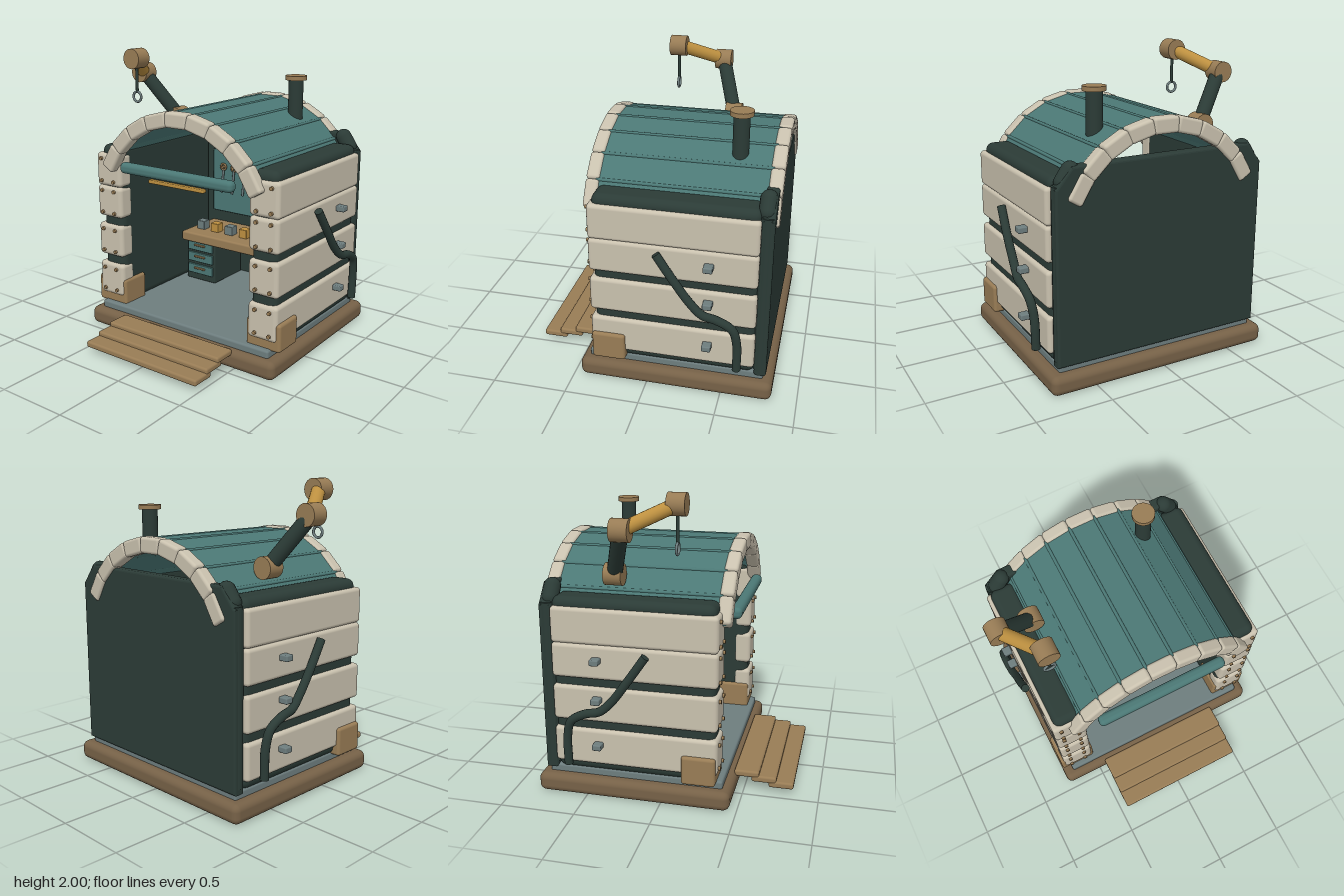
import * as THREE from 'three';
import { RoundedBoxGeometry } from 'three/addons/geometries/RoundedBoxGeometry.js';

const mat = (name, color) => {
  const m = new THREE.MeshStandardMaterial({ color });
  m.name = name;
  return m;
};
const M = {
  dark: mat('dark green', 0x2b3b36), cream: mat('cream', 0xc9c1ae), teal: mat('teal', 0x4b7875),
  wood: mat('wood', 0x987c55), base: mat('dark wood', 0x766147), grey: mat('grey', 0x6d7d7e),
  ochre: mat('ochre', 0xbd9040),
};
const CX = 0.02; // middle of the building

export function createModel() {
  const model = new THREE.Group();
  model.name = 'workshop';

  const add = (name, geo, material, x = 0, y = 0, z = 0) => {
    const mesh = new THREE.Mesh(geo, material);
    mesh.name = name;
    mesh.position.set(x, y, z);
    model.add(mesh);
    return mesh;
  };
  // rounded box from its limits
  const box = (name, m, x0, x1, y0, y1, z0, z1, r = 0.01) =>
    add(name, new RoundedBoxGeometry(Math.abs(x1 - x0), y1 - y0, z1 - z0, 3, r), m,
      (x0 + x1) / 2, (y0 + y1) / 2, (z0 + z1) / 2);
  // round bar between two points
  const rod = (name, m, a, b, r, sides = 20) => {
    const p = new THREE.Vector3(...a), q = new THREE.Vector3(...b), d = q.clone().sub(p);
    const mesh = add(name, new THREE.CylinderGeometry(r, r, d.length(), sides), m);
    mesh.position.copy(p).add(q).multiplyScalar(0.5);
    mesh.quaternion.setFromUnitVectors(new THREE.Vector3(0, 1, 0), d.normalize());
    return mesh;
  };

  // base, floor and steps
  box('base', M.base, -0.77, 0.81, 0, 0.13, -0.835, 0.455, 0.045);
  box('floor', M.grey, -0.7, 0.74, 0.12, 0.18, -0.77, 0.4, 0.015);
  for (let i = 0; i < 3; i++) {
    box('step', M.wood, -0.45, 0.49, 0.097 - i * 0.029, 0.142 - i * 0.029,
      0.435 - i * 0.118, 0.6 + i * 0.115, 0.015).position.z = 0.517 + i * 0.116;
    const s = model.children[model.children.length - 1];
    s.geometry = new RoundedBoxGeometry(0.94, 0.045, 0.166, 3, 0.015);
  }

  // back wall with sloped upper corners
  const wall = new THREE.Shape([[-0.72, 0.18], [0.72, 0.18], [0.72, 1.28], [0.62, 1.4], [-0.62, 1.4], [-0.72, 1.28]]
    .map(([x, y]) => new THREE.Vector2(x, y)));
  add('backWall', new THREE.ExtrudeGeometry(wall, {
    depth: 0.05, bevelSize: 0.015, bevelThickness: 0.015, bevelSegments: 3,
  }), M.dark, CX, 0, -0.775);

  const rows = [[0.23, 0.475], [0.53, 0.768], [0.822, 1.05], [1.05, 1.287]];
  for (const s of [-1, 1]) {
    const X = (o) => CX + s * o;
    // side wall, corner post and its cap
    box('sideWall', M.dark, X(0.545), X(0.735), 0.17, 1.345, -0.71, 0.35, 0.05);
    rod('cornerPost', M.dark, [X(0.695), 0.2, -0.745], [X(0.695), 1.3, -0.745], 0.045);
    const cap = add('postCap', new THREE.CapsuleGeometry(0.055, 0.08, 6, 16), M.dark, X(0.64), 1.35, -0.735);
    cap.rotation.z = s * 0.6;

    // cladding and rivets
    for (const [y0, y1] of rows) {
      box('sidePanel', M.cream, X(0.66), X(0.762), y0, y1, -0.71, 0.37, 0.025);
      box('frontPanel', M.cream, X(0.538), X(0.762), y0, y1, 0.25, 0.372, 0.03);
      for (const o of [0.6, 0.71]) for (const e of [-0.08, 0.08]) {
        const y = (y0 + y1) / 2 + e;
        rod('rivet', M.wood, [X(o), y, 0.36], [X(o), y, 0.387], 0.013, 12);
      }
    }
    box('cornerBoot', M.wood, X(0.525), X(0.785), 0.165, 0.36, 0.14, 0.362, 0.02);

    // hose with brackets
    const path = [[0.79, 1.01, -0.08], [0.8, 0.85, -0.19], [0.805, 0.7, -0.3], [0.815, 0.63, -0.38],
      [0.82, 0.61, -0.47], [0.815, 0.55, -0.57], [0.805, 0.44, -0.602], [0.8, 0.24, -0.605]]
      .map(([o, y, z]) => new THREE.Vector3(X(o), y, z));
    const curve = new THREE.CatmullRomCurve3(path);
    add('hose', new THREE.TubeGeometry(curve, 48, 0.028, 14), M.dark);
    for (const t of [0, 1]) {
      const p = curve.getPoint(t), d = curve.getTangent(t).multiplyScalar(0.002);
      rod('hoseEnd', M.dark, p.clone().sub(d).toArray(), p.clone().add(d).toArray(), 0.028, 14);
    }
    for (const y of [0.375, 0.69, 0.955])
      box('bracket', M.grey, X(0.74), X(0.822), y - 0.02, y + 0.02, -0.437, -0.377, 0.008);
  }

  // barrel roof: planks, seams and two segmented arches
  const CY = 0.925, STEP = THREE.MathUtils.degToRad(14.7);
  const onArc = (mesh, a, r) => {
    mesh.position.x = CX + r * Math.sin(a);
    mesh.position.y = CY + r * Math.cos(a);
    mesh.rotation.z = -a;
  };
  for (let k = -4; k <= 4; k++) {
    const a = k * STEP;
    onArc(add('roofPlank', new RoundedBoxGeometry(0.181, 0.04, 1.18, 2, 0.006), M.teal, 0, 0, -0.19), a, 0.686);
    for (const z of [0.382, -0.762])
      onArc(add('archBlock', new RoundedBoxGeometry(0.181, 0.105, 0.088, 3, 0.02), M.cream, 0, 0, z), a, 0.668);
    if (k < 4) {
      const b = a + STEP / 2, x = CX + 0.706 * Math.sin(b), y = CY + 0.706 * Math.cos(b);
      rod('roofSeam', M.teal, [x, y, -0.74], [x, y, 0.36], 0.012, 10);
    }
  }

  // chimney
  rod('chimney', M.dark, [0.36, 1.5, -0.515], [0.36, 1.79, -0.515], 0.052, 28);
  rod('chimneyCap', M.wood, [0.36, 1.79, -0.515], [0.36, 1.82, -0.515], 0.075, 28);

  // crane arm with hook
  const joints = [[-0.55, 1.47, -0.333], [-0.783, 1.795, -0.212], [-0.592, 1.93, 0.086]];
  for (const [x, y, z] of joints) rod('craneJoint', M.wood, [x, y, z - 0.058], [x, y, z + 0.058], 0.071, 28);
  rod('craneLowerArm', M.dark, joints[0], joints[1], 0.05);
  rod('craneUpperArm', M.ochre, joints[1], joints[2], 0.045);
  rod('hookCable', M.dark, joints[2], [-0.592, 1.695, 0.086], 0.011, 10);
  add('hookRing', new THREE.TorusGeometry(0.036, 0.009, 10, 24), M.grey, -0.592, 1.66, 0.086);

  // awning roll and lamp over the entrance
  box('awning', M.teal, -0.445, 0.485, 1.19, 1.265, 0.385, 0.46, 0.03);
  box('lampBar', M.ochre, -0.21, 0.25, 1.15, 1.175, 0.395, 0.43, 0.006);

  // workbench with drawers
  box('benchTop', M.wood, -0.5, 0.535, 0.5, 0.575, -0.71, -0.29, 0.015);
  for (const x of [-0.35, 0.39]) {
    box('drawerCabinet', M.dark, x - 0.135, x + 0.135, 0.18, 0.5, -0.7, -0.34, 0.008);
    for (const y of [0.27, 0.367, 0.46]) {
      box('drawer', M.teal, x - 0.117, x + 0.117, y - 0.037, y + 0.037, -0.36, -0.325, 0.006);
      box('drawerHandle', M.wood, x - 0.05, x + 0.05, y + 0.003, y + 0.017, -0.33, -0.31, 0.005);
    }
  }
  for (let i = 0; i < 7; i++) {
    const x = -0.405 + i * 0.132;
    box('partsBin', i % 2 ? M.ochre : M.grey, x - 0.036, x + 0.036, 0.572, 0.642, -0.48, -0.41, 0.006);
  }

  // tool board with hanging tools
  box('toolBoard', M.teal, -0.48, 0.52, 0.66, 1.165, -0.72, -0.68, 0.008);
  for (let i = 0; i < 9; i++) {
    const x = -0.365 + i * 0.1;
    rod('toolPeg', M.wood, [x, 1.035, -0.69], [x, 1.035, -0.64], 0.012, 12);
    add('toolRing', new THREE.TorusGeometry(0.024, 0.008, 8, 20), M.wood, x, 1.035, -0.66);
    rod('toolShaft', M.grey, [x, 1.015, -0.66], [x - 0.017, 0.825, -0.66], 0.01, 10);
  }

  // monitor
  box('monitor', M.dark, 0.237, 0.455, 0.655, 0.835, -0.68, -0.6, 0.012);
  box('monitorBezel', M.wood, 0.257, 0.435, 0.687, 0.815, -0.602, -0.597, 0.002);
  box('monitorScreen', M.cream, 0.265, 0.427, 0.695, 0.807, -0.6, -0.594, 0.002);

  return model;
}
